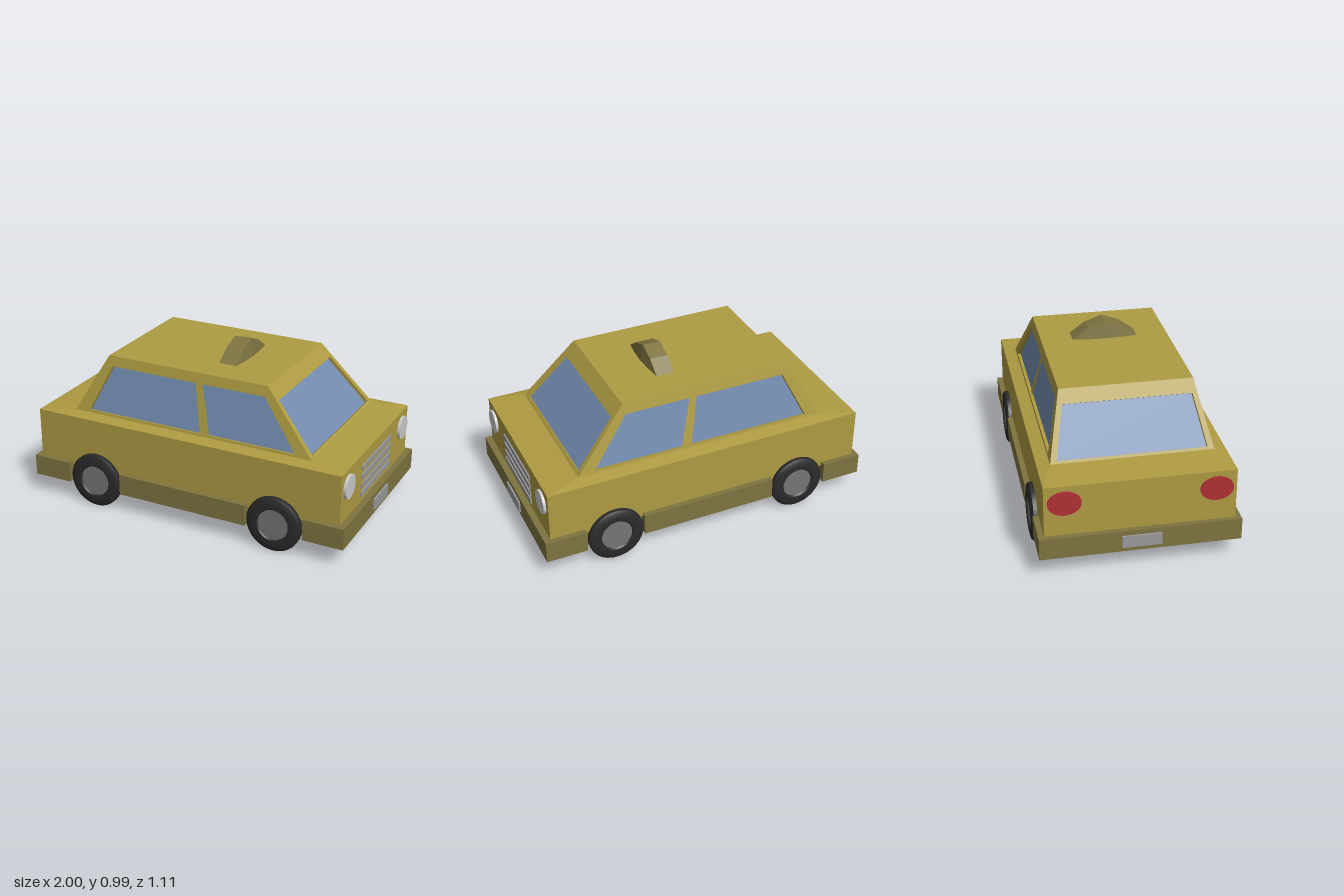
import * as THREE from 'three';
import { toCreasedNormals } from 'three/addons/utils/BufferGeometryUtils.js';

const mat = (color, side = THREE.FrontSide) =>
  new THREE.MeshStandardMaterial({ color, flatShading: true, side });
const paint = mat(0xae9b42, THREE.DoubleSide);
const trim = mat(0x7e7440);
const glass = mat(0x728cb0, THREE.DoubleSide);
const silver = mat(0xcccccc);
const grey = mat(0x9a9a9e);
const red = mat(0xb03035);
const rubber = new THREE.MeshStandardMaterial({ color: 0x2a2a2a });
const hubGrey = mat(0x757575);

// Geometry from quads whose corners run counter-clockwise seen from outside
function quads(list) {
  const pos = [];
  for (const [a, b, c, d] of list) for (const p of [a, b, c, a, c, d]) pos.push(p.x, p.y, p.z);
  const g = new THREE.BufferGeometry();
  g.setAttribute('position', new THREE.Float32BufferAttribute(pos, 3));
  g.computeVertexNormals();
  return g;
}

// Rectangular ring at height y, counter-clockwise seen from the top
const ring = (x0, x1, z, y) =>
  [[x0, z], [x1, z], [x1, -z], [x0, -z]].map(([x, w]) => new THREE.Vector3(x, y, w));

const wall = (lo, hi) => lo.map((p, i) => {
  const j = (i + 1) % lo.length;
  return [p, lo[j], hi[j], hi[i]];
});

export function createModel() {
  const car = new THREE.Group();
  car.name = 'car';
  const add = (name, geometry, material, x = 0, y = 0, z = 0, parent = car) => {
    const m = new THREE.Mesh(geometry, material);
    m.name = name;
    m.position.set(x, y, z);
    parent.add(m);
    return m;
  };

  // Body with a shallow slope rising to the cabin
  const sill = ring(-0.75, 0.75, 0.45, 0.55);
  const top = ring(-0.555, 0.45, 0.37, 0.895);
  const low = ring(-0.96, 0.953, 0.52, 0.22);
  const belt = ring(-0.96, 0.953, 0.52, 0.535);
  add('body', quads([...wall(low, belt), ...wall(belt, sill)]), paint);
  add('roof', quads([top]), paint);

  // Cabin sides: frame, recessed reveal and pane
  const names = ['left', 'front', 'right', 'rear'];
  names.forEach((_, i) => {
    const side = ['right', 'front', 'left', 'rear'];
    // +z is the flank seen first; naming follows the side order of the ring
    const label = side[i];
    const j = (i + 1) % 4;
    const [a, b, c, d] = [sill[i], sill[j], top[j], top[i]];
    const normal = b.clone().sub(a).cross(d.clone().sub(a)).normalize();
    const at = (u, v, depth = 0) => a.clone().lerp(b, u)
      .lerp(d.clone().lerp(c, u), v).addScaledVector(normal, -depth);
    const flank = i % 2 === 0;
    const u = flank ? 0.058 : 0.038;
    const v = flank ? 0.83 : 0.79;
    const opening = (depth) =>
      [at(u, 0.04, depth), at(1 - u, 0.04, depth), at(1 - u, v, depth), at(u, v, depth)];
    const hole = opening(0), pane = opening(0.02);
    add(label + 'WindowFrame', quads([...wall([a, b, c, d], hole), ...wall(hole, pane)]), paint);
    add(label + 'Window', quads([pane]), glass);
    if (flank) {
      // Door pillar dividing the side window
      const [p, q] = i === 0 ? [0.545, 0.585] : [0.415, 0.455];
      add(label + 'WindowPillar',
        quads([[at(p, 0.04, 0.014), at(q, 0.04, 0.014), at(q, v, 0.014), at(p, v, 0.014)]]), paint);
    }
  });

  // Skirt and bumpers in one outline, notched for the wheels
  const half = [[-0.99, 0.552], [-0.75, 0.552], [-0.75, 0.505], [-0.405, 0.505], [-0.405, 0.552],
    [0.405, 0.552], [0.405, 0.505], [0.75, 0.505], [0.75, 0.552], [0.99, 0.552]];
  const outline = [...half, ...half.map(([x, z]) => [x, -z]).reverse()];
  const skirt = new THREE.ExtrudeGeometry(
    new THREE.Shape(outline.map(([x, z]) => new THREE.Vector2(x, z))),
    { depth: 0.125, bevelEnabled: false });
  skirt.rotateX(-Math.PI / 2);
  add('skirt', skirt, trim, 0, 0.117, 0);
  add('floor', new THREE.BoxGeometry(1.94, 0.01, 1.0), paint, 0, 0.119, 0);

  // Wheels
  const tyreProfile = [[0.02, -0.025], [0.15, -0.025], [0.163, -0.015], [0.163, 0.012],
    [0.152, 0.02], [0.125, 0.025], [0.098, 0.025], [0.09, 0.016]];
  const tyre = toCreasedNormals(new THREE.LatheGeometry(
    tyreProfile.map(([r, h]) => new THREE.Vector2(r, h)), 32), 0.6);
  const hub = new THREE.CylinderGeometry(0.092, 0.092, 0.03, 32);
  for (const x of [-0.575, 0.573]) for (const s of [1, -1]) {
    const wheel = new THREE.Group();
    wheel.name = (x > 0 ? 'front' : 'rear') + (s > 0 ? 'Right' : 'Left') + 'Wheel';
    wheel.position.set(x, 0.163, s * 0.53);
    wheel.rotation.x = s * Math.PI / 2;
    add('tyre', tyre, rubber, 0, 0, 0, wheel);
    add('hub', hub, hubGrey, 0, 0.002, 0, wheel);
    car.add(wheel);
  }

  // Lamps
  const lamp = new THREE.CylinderGeometry(0.07, 0.07, 0.03, 32).rotateZ(Math.PI / 2);
  for (const s of [1, -1]) {
    add('headlight', lamp, silver, 0.953, 0.434, s * 0.42);
    add('tailLight', lamp, red, -0.956, 0.436, s * 0.41).scale.z = 1.3;
  }

  // Grille bars and number plates
  for (const y of [0.452, 0.398, 0.343, 0.292])
    add('grilleBar', new THREE.BoxGeometry(0.02, 0.031, 0.45), grey, 0.951, y, 0);
  for (const s of [1, -1])
    add(s > 0 ? 'frontPlate' : 'rearPlate', new THREE.BoxGeometry(0.02, 0.07, 0.218), grey, s * 0.99, 0.179, 0);

  // Roof sign: arched along z, its flanks flaring towards the roof
  const arch = [[0.19, 0], [0.1, 0.065], [0, 0.1], [-0.1, 0.065], [-0.19, 0]];
  const sections = arch.map(([z, h]) => {
    const flare = h * 0.22;
    return [[0.06 - flare * 0.7, 0], [0.168 + flare * 0.8, 0], [0.168, h], [0.063, h]]
      .map(([x, y]) => new THREE.Vector3(x, 0.894 + y, z));
  });
  const signFaces = [];
  for (let k = 0; k < sections.length - 1; k++)
    signFaces.push(...wall(sections[k + 1], sections[k]));
  add('roofSign', quads(signFaces), trim);

  return car;
}
